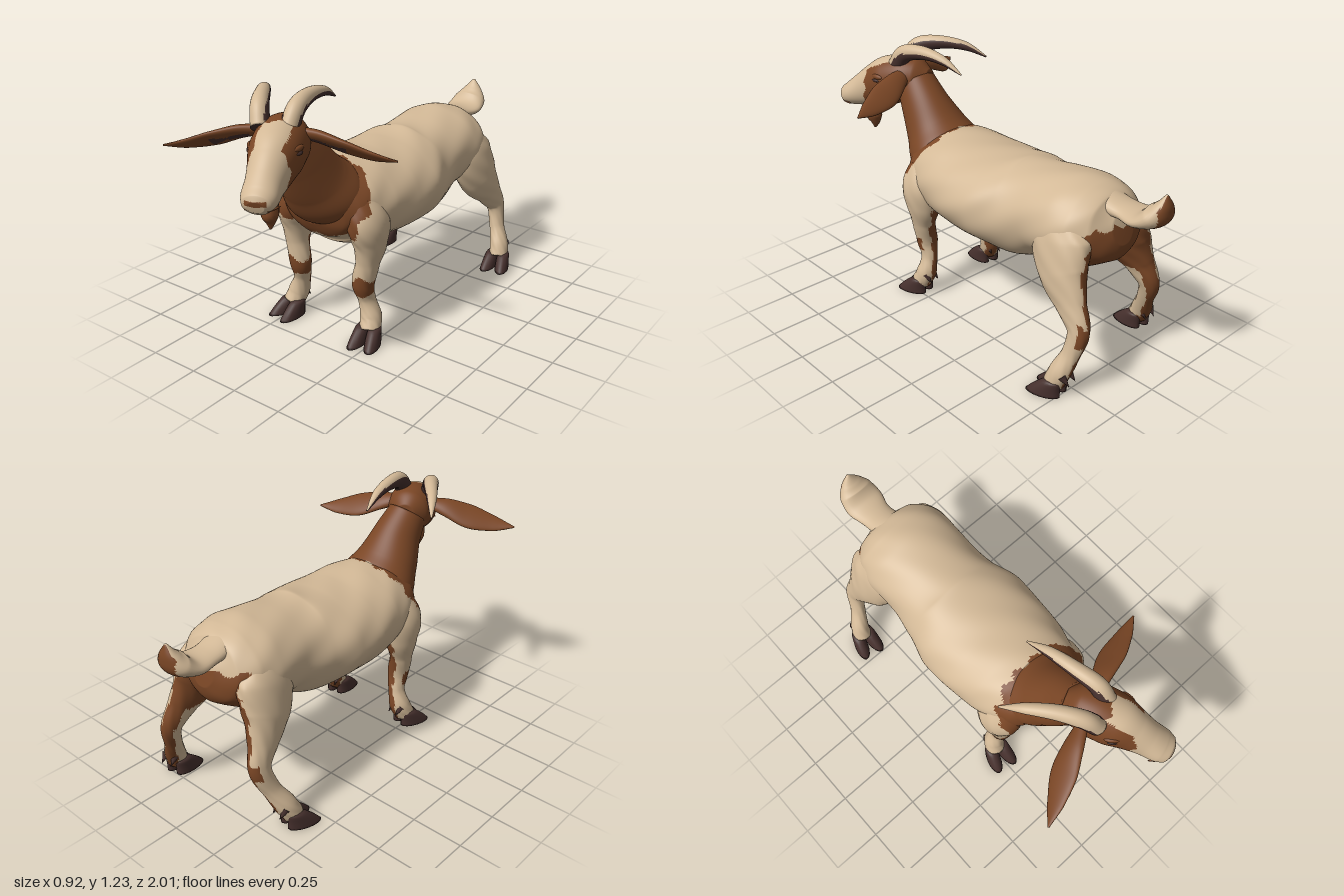
import * as THREE from 'three';

const mat = (name, color) => {
  const m = new THREE.MeshStandardMaterial({ color });
  m.name = name;
  return m;
};
const V3 = (x, y, z) => new THREE.Vector3(x, y, z);
const CREAM = 0, BROWN = 1, DARK = 2;

// Smooth loft through stations [x, y, z, radiusAcross, radiusOther]; "across" is the
// ring's first axis, "facing" fixes the ring direction. pick(centre, normal) colours faces.
function loft(name, mats, stations, pick, { across = V3(1, 0, 0), facing, steps = 40, sides = 32, bump = 0 } = {}) {
  const path = new THREE.CatmullRomCurve3(stations.map(s => V3(s[0], s[1], s[2])));
  const radii = new THREE.CatmullRomCurve3(stations.map(s => V3(s[3], s[4], 0)));
  const pos = [], tris = [];
  for (let i = 0; i <= steps; i++) {
    const t = i / steps, c = path.getPoint(t), r = radii.getPoint(t), T = facing || path.getTangent(t);
    const U = across.clone().addScaledVector(T, -across.dot(T)).normalize();
    const W = T.clone().cross(U);
    for (let j = 0; j < sides; j++) {
      const a = j / sides * Math.PI * 2;
      const k = 1 + bump * Math.sin(a * 5 + t * 17) * Math.sin(t * 23 + a * 3);
      const p = c.clone().addScaledVector(U, Math.cos(a) * r.x * k).addScaledVector(W, Math.sin(a) * r.y * k);
      pos.push(p.x, p.y, p.z);
      if (i < steps) {
        const n = (j + 1) % sides, b = i * sides;
        tris.push([b + j, b + n, b + sides + j], [b + n, b + sides + n, b + sides + j]);
      }
    }
  }
  // end caps
  const first = pos.length / 3, last = steps * sides;
  for (const s of [stations[0], stations.at(-1)]) pos.push(s[0], s[1], s[2]);
  for (let j = 0; j < sides; j++) {
    const n = (j + 1) % sides;
    tris.push([first, n, j], [first + 1, last + j, last + n]);
  }
  // sort the faces into one group per colour
  const at = i => V3(pos[i * 3], pos[i * 3 + 1], pos[i * 3 + 2]);
  const bins = mats.map(() => []);
  for (const t of tris) {
    const [a, b, c] = t.map(at);
    const n = b.clone().sub(a).cross(c.clone().sub(a)).normalize();
    const mid = a.add(b).add(c).divideScalar(3);
    bins[typeof pick === 'function' ? pick(mid, n) : pick].push(...t);
  }
  const g = new THREE.BufferGeometry();
  g.setAttribute('position', new THREE.Float32BufferAttribute(pos, 3));
  g.setIndex(bins.flat());
  let start = 0;
  bins.forEach((b, i) => {
    if (b.length) g.addGroup(start, b.length, i);
    start += b.length;
  });
  g.computeVertexNormals();
  const mesh = new THREE.Mesh(g, mats);
  mesh.name = name;
  return mesh;
}

// ragged edge between coat patches
const ragged = p => 0.01 * Math.sin(p.x * 60 + p.y * 25) + 0.007 * Math.sin(p.y * 90 + p.z * 40);

// brown bib over neck and chest
const inBib = (p, e) => p.z > 0.27 + (0.87 - p.y) * 0.45 + e && p.y > 0.535 + e
  && Math.abs(p.x) < 0.21 + (p.y - 0.55) * 0.4 + e;

function coat(p, n) {
  const e = ragged(p);
  if (inBib(p, e)) return BROWN;
  if (n.y < -0.8 && p.z > 0.1 + e && p.z < 0.35 + e && Math.abs(p.x) < 0.16 + e) return BROWN;
  if (p.z < -0.44 && p.y < 0.74 + e && (n.z < -0.35 || n.y < -0.85) && Math.abs(p.x) < 0.2 + e) return BROWN;
  return CREAM;
}

// cloven hoof with dewclaws
function hoof(mats, x, z, yaw) {
  const g = new THREE.Group();
  g.name = 'hoof';
  for (const s of [-1, 1]) {
    const toe = loft('toe', mats, [
      [0, 0.084, -0.03, 0.022, 0.032], [0, 0.074, -0.022, 0.03, 0.046],
      [0, 0.038, 0.002, 0.034, 0.066], [0, 0.004, 0.018, 0.036, 0.082],
    ], DARK, { facing: V3(0, -1, 0), steps: 10, sides: 16 });
    toe.position.x = s * 0.034;
    toe.rotation.y = s * 0.14;
    const claw = new THREE.Mesh(new THREE.ConeGeometry(0.02, 0.055, 8), mats[DARK]);
    claw.name = 'dewclaw';
    claw.position.set(s * 0.026, 0.1, -0.09);
    claw.rotation.x = -2.4;
    g.add(toe, claw);
  }
  g.position.set(x, 0, z);
  g.rotation.y = yaw;
  return g;
}

// leg on side s; dx, dz move the foot, fading out towards the hip
function leg(name, mats, s, stations, hoofZ, dx, dz, pick) {
  const g = new THREE.Group();
  g.name = name;
  const pts = stations.map(([x, y, z, a, b]) => {
    const f = Math.max(0, 1 - y / 0.6);
    return [s * (x + dx * f), y, z + dz * f, a, b];
  });
  const foot = pts.at(-1);
  g.add(loft('limb', mats, pts, (p, n) => pick(p, n, s), { steps: 80, sides: 40, bump: 0.03 }));
  g.add(hoof(mats, foot[0], hoofZ + dz * 0.9, s * 0.2));
  return g;
}

function makeHead(mats) {
  const head = new THREE.Group();
  head.name = 'head';
  head.add(loft('skull', mats, [
    [0, 1.03, -0.06, 0.05, 0.06], [0, 1.03, 0, 0.1, 0.11], [0, 1.03, 0.08, 0.12, 0.122],
    [0, 1.01, 0.16, 0.118, 0.125], [0, 0.975, 0.24, 0.097, 0.112], [0, 0.94, 0.32, 0.081, 0.087],
    [0, 0.912, 0.39, 0.077, 0.064], [0, 0.9, 0.43, 0.062, 0.048], [0, 0.895, 0.447, 0.035, 0.025],
  ], (p, n) => {
    const e = ragged(p);
    if (p.z > 0.43 && p.y > 0.9 && p.y < 0.922 && Math.abs(p.x) < 0.045) return BROWN;
    const blaze = p.z > 0.13 + e && n.y > 0 && Math.abs(p.x) < 0.065 + e * 0.6;
    return blaze || p.z > 0.28 + e ? CREAM : BROWN;
  }, { steps: 80, sides: 64 }));

  // beard
  head.add(loft('beard', mats, [
    [0, 0.9, 0.25, 0.04, 0.05], [0, 0.85, 0.275, 0.038, 0.032], [0, 0.8, 0.275, 0.038, 0.042],
    [0, 0.765, 0.27, 0.024, 0.026], [0, 0.73, 0.275, 0.004, 0.005],
  ], BROWN, { steps: 18, sides: 16 }));

  const spot = (name, sx, sy, sz, x, y, z, ry, m) => {
    const o = new THREE.Mesh(new THREE.SphereGeometry(1, 16, 10), mats[m]);
    o.name = name;
    o.scale.set(sx, sy, sz);
    o.position.set(x, y, z);
    o.rotation.y = ry;
    head.add(o);
  };
  const top = new THREE.Group();
  top.name = 'earsAndHorns';
  top.position.x = -0.022;
  for (const s of [-1, 1]) {
    spot('brow', 0.014, 0.014, 0.036, s * 0.1, 1.052, 0.185, -s * 0.3, BROWN);
    spot('eye', 0.009, 0.008, 0.024, s * 0.106, 1.034, 0.192, -s * 0.3, DARK);
    spot('nostril', 0.013, 0.007, 0.009, s * 0.034, 0.924, 0.433, s * 0.5, DARK);
    spot('mouth', 0.006, 0.004, 0.038, s * 0.06, 0.876, 0.4, -s * 0.45, BROWN);

    // broad drooping ears with a dark hollow
    top.add(loft('ear', mats, [
      [s * 0.08, 1.075, 0.05, 0.03, 0.022], [s * 0.17, 1.06, 0.05, 0.052, 0.024],
      [s * 0.28, 1.025, 0.055, 0.068, 0.02], [s * 0.41, 0.995, 0.07, 0.042, 0.013],
      [s * 0.505, 0.985, 0.078, 0.004, 0.004],
    ], (p, n) => (s * p.x > 0.12 && s * p.x < 0.29 && n.z * 0.6 - n.y * 0.8 > 0.965 ? DARK : BROWN),
    { across: V3(0, 0.6, 0.8), steps: 32, sides: 32 }));

    // swept-back horns, pale above and dark below
    top.add(loft('horn', mats, [
      [s * 0.06, 1.1, 0.105, 0.042, 0.048], [s * 0.078, 1.175, 0.05, 0.04, 0.044],
      [s * 0.1, 1.2, -0.06, 0.034, 0.034], [s * 0.132, 1.185, -0.19, 0.024, 0.022],
      [s * 0.155, 1.135, -0.295, 0.004, 0.004],
    ], (p, n) => (n.y + s * n.x * 0.25 > 0.3 ? CREAM : DARK), { steps: 40, sides: 28 }));
  }
  head.add(top);
  head.position.set(-0.01, 0, 0.59);
  head.rotation.y = 0.43;
  return head;
}

export function createModel() {
  const mats = [mat('cream coat', 0xd3b997), mat('brown coat', 0x7a4625), mat('dark horn', 0x46302d)];
  const goat = new THREE.Group();
  goat.name = 'goat';

  goat.add(loft('body', mats, [
    [0, 0.72, -0.78, 0.06, 0.07], [0, 0.71, -0.74, 0.17, 0.145], [0, 0.7, -0.66, 0.235, 0.185],
    [0, 0.69, -0.55, 0.255, 0.207], [0, 0.675, -0.4, 0.25, 0.205], [0, 0.642, -0.25, 0.275, 0.232],
    [0, 0.638, -0.1, 0.315, 0.215], [0, 0.638, 0.05, 0.312, 0.212], [0, 0.65, 0.2, 0.29, 0.212],
    [0, 0.655, 0.3, 0.265, 0.205], [0, 0.65, 0.38, 0.235, 0.178], [0, 0.635, 0.44, 0.17, 0.12],
    [0, 0.63, 0.475, 0.05, 0.035],
  ], coat, { steps: 130, sides: 80, bump: 0.014 }));

  goat.add(loft('neck', mats, [
    [0, 0.67, 0.3, 0.2, 0.09], [0, 0.73, 0.38, 0.2, 0.162], [0, 0.81, 0.45, 0.16, 0.148],
    [0.005, 0.92, 0.53, 0.12, 0.126], [0, 1.02, 0.605, 0.096, 0.103],
  ], coat, { steps: 70, sides: 60 }));

  goat.add(makeHead(mats));

  goat.add(loft('tail', mats, [
    [-0.01, 0.815, -0.68, 0.08, 0.05], [-0.02, 0.803, -0.78, 0.078, 0.034], [-0.02, 0.805, -0.87, 0.098, 0.036],
    [-0.02, 0.84, -0.935, 0.088, 0.052], [-0.02, 0.885, -0.96, 0.055, 0.036], [-0.02, 0.94, -0.972, 0.006, 0.006],
  ], (p, n) => (p.z < -0.88 && n.z < -0.5 && Math.abs(p.x + 0.02) < 0.055 ? BROWN : CREAM),
  { steps: 36, sides: 28 }));

  const front = [
    [0.17, 0.7, 0.31, 0.07, 0.1], [0.205, 0.6, 0.315, 0.088, 0.118], [0.212, 0.5, 0.31, 0.076, 0.092],
    [0.205, 0.4, 0.32, 0.056, 0.06], [0.183, 0.285, 0.325, 0.054, 0.05], [0.19, 0.2, 0.305, 0.04, 0.042],
    [0.212, 0.115, 0.305, 0.05, 0.052], [0.225, 0.06, 0.33, 0.05, 0.05],
  ];
  const hind = [
    [0.15, 0.76, -0.58, 0.07, 0.1], [0.185, 0.65, -0.6, 0.085, 0.155], [0.215, 0.53, -0.645, 0.08, 0.13],
    [0.24, 0.42, -0.72, 0.057, 0.08], [0.255, 0.325, -0.78, 0.044, 0.054], [0.28, 0.21, -0.765, 0.038, 0.044],
    [0.315, 0.115, -0.735, 0.047, 0.052], [0.325, 0.06, -0.715, 0.048, 0.05],
  ];
  const frontCoat = (p, n, s) => {
    const e = ragged(p);
    const knee = p.y > 0.24 + e && p.y < 0.325 + e && n.z > -0.4;
    const back = n.z * 0.85 + s * n.x * 0.5 < -0.7 && p.y < 0.52 + e;
    return knee || back || inBib(p, e) ? BROWN : CREAM;
  };
  const hindCoat = (p, n, s) => {
    const e = ragged(p);
    const inner = s * n.x < -0.25 && p.y > 0.42 + e && n.z < 0.5;
    const hock = p.y > 0.27 + e && p.y < 0.36 + e && n.z < -0.4;
    const back = n.z * 0.85 + s * n.x * 0.5 < -0.7 && p.y < 0.66 + e;
    return inner || hock || back ? BROWN : CREAM;
  };
  for (const s of [-1, 1]) {
    const side = s > 0 ? 'left' : 'right';
    goat.add(leg(side + 'FrontLeg', mats, s, front, 0.355, s > 0 ? 0 : 0.02, 0, frontCoat));
    goat.add(leg(side + 'HindLeg', mats, s, hind, -0.695, s > 0 ? 0 : 0.04, s > 0 ? 0 : 0.1, hindCoat));
  }
  return goat;
}
